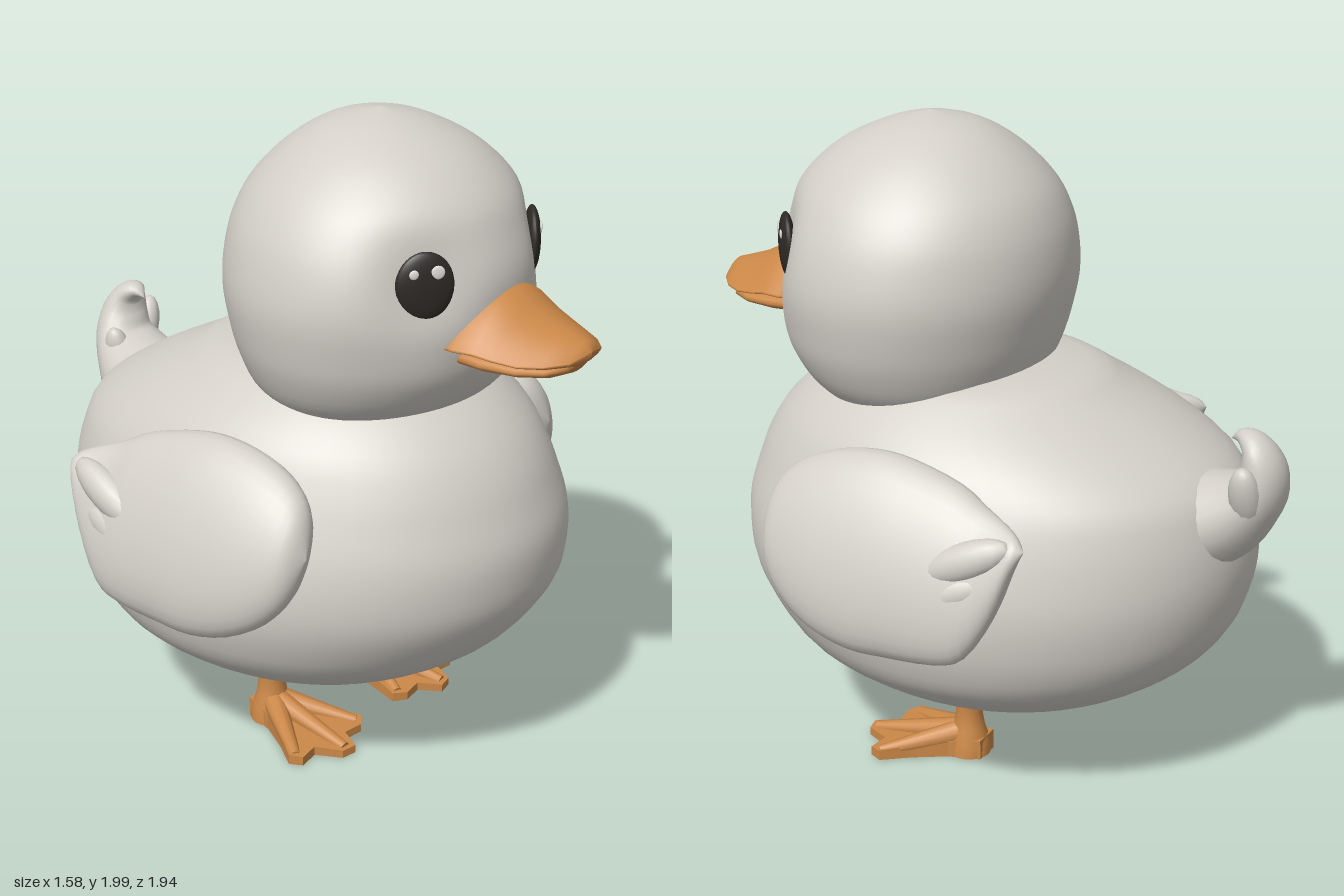
import * as THREE from 'three';

const paint = (name, color) => Object.assign(new THREE.MeshStandardMaterial({ color }), { name });

// Resample rows of section values along a smooth curve
function smoothRows(rows, n) {
  const curves = rows[0].map((_, k) =>
    new THREE.SplineCurve(rows.map(r => new THREE.Vector2(0, r[k]))));
  return Array.from({ length: n + 1 }, (_, i) => curves.map(c => c.getPoint(i / n).y));
}

// Closed loops of points joined into one smooth skin
function loft(rows, cols, point) {
  const pos = [], index = [];
  rows.forEach((row, i) => {
    for (let j = 0; j < cols; j++) {
      pos.push(...point(row, (j / cols) * Math.PI * 2, i));
      if (i === rows.length - 1) continue;
      const a = i * cols + j, b = i * cols + (j + 1) % cols;
      index.push(a, b, b + cols, a, b + cols, a + cols);
    }
  });
  const g = new THREE.BufferGeometry();
  g.setAttribute('position', new THREE.Float32BufferAttribute(pos, 3));
  g.setIndex(index);
  g.computeVertexNormals();
  return g;
}

export function createModel() {
  const model = new THREE.Group();
  model.name = 'duckling';
  const down = paint('downGrey', 0xd3cfc8);
  const orange = paint('beakOrange', 0xcb8848);
  const dark = paint('eyeDark', 0x2e2a26);
  const glint = paint('eyeGlint', 0xe6e4e0);

  const add = (parent, name, geometry, material) => {
    const m = new THREE.Mesh(geometry, material);
    m.name = name;
    parent.add(m);
    return m;
  };

  // Horizontal oval: [y, front z, back z, half width]
  const oval = ([y, f, b, w], a) =>
    [Math.max(w, 0) * Math.sin(a), y, (f + b) / 2 + Math.max(f - b, 0) / 2 * Math.cos(a)];

  // Body
  const bodyRows = [
    [0.2, 0, 0, 0], [0.205, 0.17, -0.2, 0.17], [0.25, 0.38, -0.42, 0.36], [0.3, 0.51, -0.54, 0.47],
    [0.4, 0.66, -0.68, 0.6], [0.5, 0.75, -0.76, 0.65], [0.6, 0.81, -0.8, 0.67], [0.7, 0.83, -0.82, 0.67],
    [0.8, 0.83, -0.82, 0.65], [0.9, 0.8, -0.8, 0.62], [1.0, 0.76, -0.75, 0.58], [1.1, 0.69, -0.6, 0.52],
    [1.2, 0.57, -0.4, 0.41], [1.26, 0.42, -0.26, 0.29], [1.28, 0.1, 0.1, 0]];
  add(model, 'body', loft(smoothRows(bodyRows, 42), 56, oval), down);

  // Head, with a shallow socket pressed in around each eye
  const headRows = [
    [1.14, 0.25, 0.25, 0], [1.16, 0.5, -0.03, 0.33], [1.2, 0.59, -0.1, 0.41], [1.3, 0.66, -0.15, 0.465],
    [1.4, 0.69, -0.18, 0.49], [1.5, 0.71, -0.2, 0.5], [1.6, 0.71, -0.2, 0.485], [1.7, 0.68, -0.18, 0.45],
    [1.8, 0.63, -0.13, 0.385], [1.9, 0.52, -0.03, 0.275], [1.97, 0.37, 0.09, 0.14], [2, 0.24, 0.24, 0]];
  const turn = 0.69;
  const headPoint = (row, a) => {
    const [x, y, z] = oval(row, a);
    const d2 = (Math.abs(x) - 0.29) ** 2 + (y - 1.6) ** 2 + (z - 0.617) ** 2;
    const dent = 0.045 * Math.exp(-d2 / 0.02);
    return [x - Math.sign(x) * dent * Math.sin(turn), y, z - dent * Math.cos(turn)];
  };
  add(model, 'head', loft(smoothRows(headRows, 48), 72, headPoint), down);

  // Upper bill: [z, half width, edge y, ridge y]
  const upperRows = [
    [0.58, 0, 1.44, 1.44], [0.6, 0.23, 1.42, 1.57], [0.66, 0.235, 1.42, 1.57], [0.72, 0.225, 1.42, 1.56],
    [0.77, 0.21, 1.41, 1.52], [0.84, 0.185, 1.4, 1.485], [0.9, 0.145, 1.4, 1.465],
    [0.95, 0.085, 1.405, 1.45], [0.97, 0, 1.42, 1.42]];
  const upperPoint = ([z, w, e, t], a) => {
    const s = Math.sin(a);
    const rise = s > 0 ? (t - e) * s ** 2.2 : 0.02 * s;
    return [w * Math.cos(a), e + rise, z];
  };
  add(model, 'upperBill', loft(upperRows, 32, upperPoint), orange);

  // Lower bill: [z, half width, centre y, half height]
  const lowerRows = [
    [0.58, 0, 1.38, 0], [0.6, 0.19, 1.38, 0.04], [0.72, 0.19, 1.375, 0.04], [0.82, 0.165, 1.37, 0.032],
    [0.89, 0.12, 1.37, 0.027], [0.925, 0.06, 1.375, 0.02], [0.935, 0, 1.38, 0]];
  add(model, 'lowerBill', loft(lowerRows, 24, ([z, w, y, h], a) =>
    [w * Math.cos(a), y + h * Math.sin(a), z]), orange);

  // Tail curling up and forward: [x, y, z, half width, half depth]
  const tailRows = smoothRows([
    [0.04, 0.84, -0.6, 0.19, 0.16], [0.05, 0.91, -0.76, 0.165, 0.14], [0.08, 1.0, -0.87, 0.12, 0.09],
    [0.1, 1.09, -0.895, 0.09, 0.07], [0.11, 1.155, -0.875, 0.065, 0.045], [0.1, 1.18, -0.83, 0.035, 0.025],
    [0.09, 1.165, -0.79, 0, 0]], 24);
  const tailPoint = ([x, y, z, rx, rn], a, i) => {
    const p = tailRows[Math.max(i - 1, 0)], q = tailRows[Math.min(i + 1, tailRows.length - 1)];
    const dy = q[1] - p[1], dz = q[2] - p[2], l = Math.hypot(dy, dz);
    const s = rn * Math.sin(a);
    return [x + rx * Math.cos(a), y + s * dz / l, z - s * dy / l];
  };
  add(model, 'tail', loft(tailRows, 20, tailPoint), down);

  // Small loose feathers beside the tail curl
  for (const [x, y, z, tilt] of [[0.17, 1.02, -0.87, -0.35], [0.02, 0.97, -0.84, 0.3]]) {
    const f = add(model, 'tailFeather', new THREE.SphereGeometry(1, 14, 10), down);
    f.scale.set(0.045, 0.11, 0.05);
    f.position.set(x, y, z);
    f.rotation.z = tilt;
  }

  // Wing sections from tip to shoulder: [z, centre y, half height, centre x, half thickness]
  const wingRows = smoothRows([
    [-0.41, 0.95, 0, 0.66, 0], [-0.38, 0.93, 0.05, 0.66, 0.035], [-0.33, 0.87, 0.13, 0.655, 0.06],
    [-0.25, 0.82, 0.21, 0.65, 0.085], [-0.16, 0.825, 0.25, 0.645, 0.105], [0, 0.84, 0.275, 0.64, 0.12],
    [0.12, 0.845, 0.28, 0.64, 0.12], [0.25, 0.85, 0.255, 0.635, 0.115], [0.36, 0.86, 0.2, 0.63, 0.095],
    [0.43, 0.87, 0.12, 0.63, 0.06], [0.46, 0.87, 0, 0.63, 0]], 30);
  const wingPoint = ([z, yc, h, cx, t], a) => {
    const dy = Math.max(h, 0) * Math.sin(a);
    return [cx + Math.max(t, 0) * Math.cos(a) - 0.3 * dy, yc + dy, z];
  };
  const wingGeometry = loft(wingRows, 32, wingPoint);

  // Webbed foot outline in (x, z), toes pointing forward
  const web = new THREE.Shape([
    [-0.05, -0.06], [0.04, -0.06], [0.07, 0.04], [0.13, 0.14], [0.19, 0.22], [0.17, 0.26], [0.1, 0.25],
    [0.06, 0.33], [0.01, 0.34], [-0.03, 0.27], [-0.1, 0.28], [-0.14, 0.25], [-0.1, 0.13], [-0.06, 0.04],
  ].map(([x, z]) => new THREE.Vector2(x, -z)));
  const webGeometry = new THREE.ExtrudeGeometry(web, { depth: 1, bevelEnabled: false });
  webGeometry.rotateX(-Math.PI / 2);
  const wp = webGeometry.attributes.position;
  for (let i = 0; i < wp.count; i++) {
    const top = THREE.MathUtils.lerp(0.075, 0.035, THREE.MathUtils.clamp((wp.getZ(i) + 0.06) / 0.35, 0, 1));
    wp.setY(i, wp.getY(i) > 0.5 ? top : 0.01);
  }
  webGeometry.computeVertexNormals();
  const legGeometry = new THREE.LatheGeometry(
    [[0.068, 0.012], [0.064, 0.06], [0.05, 0.1], [0.042, 0.15], [0.046, 0.2], [0.055, 0.26]]
      .map(p => new THREE.Vector2(...p)), 18);

  for (const side of [1, -1]) {
    const half = new THREE.Group();
    half.name = side > 0 ? 'leftSide' : 'rightSide';
    half.scale.x = side;
    model.add(half);

    // Wing with overlapping feathers near its lower rear edge
    add(half, 'wing', wingGeometry, down);
    [[0.69, 0.9, -0.24], [0.705, 0.8, -0.2], [0.715, 0.7, -0.14]].forEach(([x, y, z], k) => {
      const f = add(half, 'wingFeather', new THREE.SphereGeometry(1, 16, 10), down);
      f.scale.set(0.045, 0.055, 0.15);
      f.position.set(x, y, z);
      f.rotation.set(0.42 - k * 0.04, 0.15, 0.25);
    });

    // Eye with two glints
    const eye = new THREE.Group();
    eye.name = 'eye';
    eye.position.set(0.27, 1.605, 0.59);
    eye.rotation.y = turn;
    half.add(eye);
    add(eye, 'eyeball', new THREE.SphereGeometry(1, 28, 18), dark).scale.set(0.085, 0.1, 0.025);
    for (const [x, y, r] of [[-0.032, 0.045, 0.02], [0.036, 0.042, 0.014]]) {
      const g = add(eye, 'eyeGlint', new THREE.SphereGeometry(1, 12, 8), glint);
      g.scale.set(r, r, 0.004);
      g.position.set(x, y, 0.021);
    }

    // Leg and webbed foot with raised toes
    const leg = new THREE.Group();
    leg.name = 'leg';
    leg.position.set(0.225, 0, 0);
    half.add(leg);
    add(leg, 'shin', legGeometry, orange);
    add(leg, 'web', webGeometry, orange);
    for (const [x, z] of [[0.17, 0.23], [0.035, 0.32], [-0.115, 0.25]]) {
      const length = Math.hypot(x, z);
      const toe = add(leg, 'toe', new THREE.CylinderGeometry(0.018, 0.04, length, 10), orange);
      toe.position.set(x / 2, 0.058, z / 2);
      toe.quaternion.setFromUnitVectors(new THREE.Vector3(0, 1, 0), new THREE.Vector3(x, -0.055, z).normalize());
    }
  }
  return model;
}
